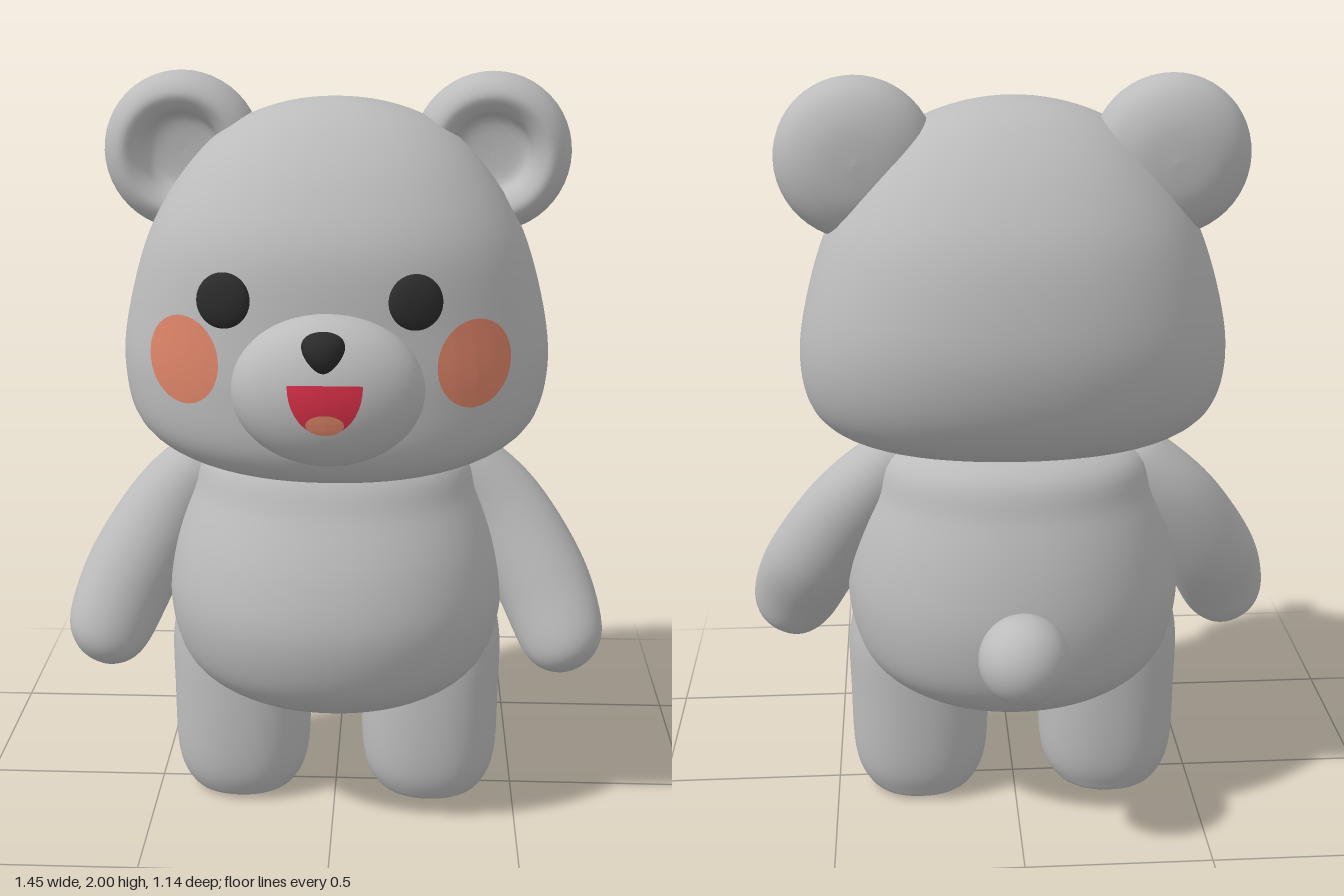
import * as THREE from 'three';
import { mergeVertices } from 'three/addons/utils/BufferGeometryUtils.js';

const paint = (name, color) => Object.assign(new THREE.MeshStandardMaterial({ color }), { name });

// Smooth closed body from rows [y, centreX, halfWidth, zFront, zBack, tilt], bottom to top.
function loft(rows, power = 2, side = 1, around = 56, steps = 6) {
  const flip = ([y, c, w, f, b, t]) => [y, c, -w, b, f, t];
  const full = rows.map((r) => (r.length < 6 ? [...r, 0] : r));
  const last = full.length - 1;
  const row = (i) => (i < 0 ? flip(full[1]).map((v, k) => (k === 0 ? full[1][0] : v))
    : i > last ? flip(full[last - 1]) : full[i]);
  const spline = (a, b, c, d, t) =>
    b + 0.5 * t * (c - a + t * (2 * a - 5 * b + 4 * c - d + t * (3 * (b - c) + d - a)));
  const pos = [], index = [], rings = last * steps;
  for (let i = 0; i <= rings; i++) {
    const k = Math.min(Math.floor(i / steps), last - 1), t = i / steps - k;
    const [y, cx, w, f, b, tilt] = full[0].map((_, n) =>
      spline(row(k - 1)[n], row(k)[n], row(k + 1)[n], row(k + 2)[n], t));
    for (let j = 0; j < around; j++) {
      const a = (j / around) * Math.PI * 2, c = Math.cos(a), s = Math.sin(a);
      const x = cx * side + w * Math.sign(c) * Math.abs(c) ** (2 / power);
      const z = (f + b) / 2 + ((f - b) / 2) * Math.sign(s) * Math.abs(s) ** (2 / power);
      pos.push(x, y + tilt * z, z);
      if (i < rings) {
        const p = i * around + j, q = i * around + ((j + 1) % around);
        index.push(p, p + around, q, q, p + around, q + around);
      }
    }
  }
  const g = new THREE.BufferGeometry();
  g.setAttribute('position', new THREE.Float32BufferAttribute(pos, 3));
  g.setIndex(index);
  const merged = mergeVertices(g, 1e-5);
  merged.computeVertexNormals();
  return merged;
}

// Thin disc reshaped by a rule and laid onto the front of a target mesh.
function decal(target, lift, rule) {
  target.updateMatrixWorld(true);
  const g = new THREE.RingGeometry(0, 1, 40, 6), p = g.attributes.position;
  const ray = new THREE.Raycaster(), down = new THREE.Vector3(0, 0, -1);
  for (let i = 0; i < p.count; i++) {
    const [x, y] = rule(p.getX(i), p.getY(i));
    ray.set(new THREE.Vector3(x, y, 3), down);
    const hit = ray.intersectObject(target)[0];
    p.setXYZ(i, x, y, (hit ? hit.point.z : 0.3) + lift);
  }
  g.computeVertexNormals();
  return g;
}

export function createModel() {
  const fur = paint('grey fur', 0xbcbcbc);
  const black = paint('black', 0x2b2b2b);
  const peach = paint('peach', 0xdd8468);
  const red = paint('mouth red', 0xd42f45);
  peach.side = red.side = THREE.DoubleSide;

  const model = new THREE.Group();
  model.name = 'toyBear';
  const add = (name, geometry, material, x = 0, y = 0, z = 0) => {
    const m = new THREE.Mesh(geometry, material);
    m.name = name;
    m.position.set(x, y, z);
    model.add(m);
    return m;
  };
  const ball = new THREE.SphereGeometry(1, 40, 28);

  // Head and torso
  const head = add('head', loft([
    [1.016, 0, 0, 0, 0, -0.09],
    [1.02, 0, 0.25, 0.22, -0.2, -0.09],
    [1.045, 0, 0.42, 0.33, -0.31, -0.08],
    [1.12, 0, 0.525, 0.395, -0.385, -0.05],
    [1.25, 0, 0.56, 0.41, -0.435, 0],
    [1.4, 0, 0.545, 0.405, -0.45, 0],
    [1.6, 0, 0.485, 0.385, -0.41, 0],
    [1.75, 0, 0.395, 0.305, -0.325, 0],
    [1.86, 0, 0.285, 0.2, -0.22, 0],
    [1.92, 0, 0.15, 0.1, -0.12, 0],
    [1.94, 0, 0, 0, 0, 0],
  ], 2.15), fur);
  add('torso', loft([
    [0.31, 0, 0, 0, 0],
    [0.316, 0, 0.2, 0.18, -0.2],
    [0.36, 0, 0.33, 0.3, -0.31],
    [0.45, 0, 0.42, 0.385, -0.385],
    [0.6, 0, 0.455, 0.42, -0.41],
    [0.75, 0, 0.44, 0.39, -0.39],
    [0.9, 0, 0.39, 0.32, -0.34],
    [1.03, 0, 0.32, 0.24, -0.27],
    [1.1, 0, 0, 0, 0],
  ], 2.1), fur);
  add('tail', ball, fur, 0, 0.585, -0.455).scale.setScalar(0.117);

  // Ear profile: rounded back, soft rim, dished front
  const earCurve = new THREE.SplineCurve([
    [0, -0.115], [0.1, -0.105], [0.175, -0.065], [0.205, 0], [0.19, 0.06],
    [0.15, 0.09], [0.11, 0.065], [0.085, 0.01], [0, 0],
  ].map(([r, h]) => new THREE.Vector2(r, h)));
  const earPoints = earCurve.getPoints(40);
  earPoints.forEach((p) => { p.x = Math.max(p.x, 0); });
  const ear = new THREE.LatheGeometry(earPoints, 48);

  for (const side of [1, -1]) {
    const label = side > 0 ? 'left' : 'right';

    const e = add(label + 'Ear', ear, fur, side * 0.4, 1.795, -0.06);
    e.rotation.x = Math.PI / 2;

    // Arm hangs outward and bends slightly forward
    const arm = add(label + 'Arm', loft([
      [-0.675, 0.05, 0, 0.115, 0.115],
      [-0.655, 0.05, 0.07, 0.175, 0.05],
      [-0.58, 0.055, 0.115, 0.208, 0.0],
      [-0.42, 0.067, 0.128, 0.155, -0.09],
      [-0.2, 0.055, 0.118, 0.085, -0.135],
      [-0.03, 0.02, 0.092, 0.055, -0.125],
      [0.04, 0.01, 0.05, 0.015, -0.075],
      [0.06, 0, 0, -0.03, -0.03],
    ], 2, side), fur, side * 0.3, 1, 0);
    arm.rotation.z = side * 0.49;

    add(label + 'Leg', loft([
      [0.005, 0.265, 0, -0.01, -0.01],
      [0.005, 0.265, 0.115, 0.11, -0.13],
      [0.035, 0.265, 0.16, 0.145, -0.158],
      [0.12, 0.265, 0.187, 0.165, -0.178],
      [0.3, 0.265, 0.192, 0.16, -0.18],
      [0.48, 0.27, 0.185, 0.14, -0.17],
      [0.62, 0.29, 0.12, 0.09, -0.12],
      [0.68, 0.3, 0, -0.01, -0.01],
    ], 2.2, side), fur);

    // Paw pads under the foot: one large, four toes
    const pads = [[0, -0.02, 0.045, 0.034], [-0.062, 0.02, 0.015, 0.018],
      [-0.024, 0.05, 0.015, 0.02], [0.024, 0.05, 0.015, 0.02], [0.062, 0.02, 0.015, 0.018]];
    pads.forEach(([x, z, rx, rz], i) => {
      const pad = add(label + (i ? 'ToePad' : 'SolePad'), new THREE.CircleGeometry(1, 24), peach,
        side * 0.265 + x, 0, z);
      pad.rotation.x = Math.PI / 2;
      pad.scale.set(rx, rz, 1);
    });

    // Eye and cheek
    const eye = add(label + 'Eye', ball, black, side > 0 ? 0.208 : -0.257, 1.495, 0.378);
    eye.scale.set(0.067, 0.068, 0.026);
    eye.rotation.set(-0.12, side * 0.2, 0);
    const cheekX = side > 0 ? 0.355 : -0.365;
    add(label + 'Cheek', decal(head, 0.009, (x, y) => [cheekX + x * 0.092, 1.332 + y * 0.11]), peach);
  }

  // Muzzle, nose and mouth
  const muzzle = add('muzzle', ball, fur, -0.003, 1.28, 0.4);
  muzzle.scale.set(0.237, 0.19, 0.137);
  const noseShape = new THREE.SphereGeometry(1, 32, 24), np = noseShape.attributes.position;
  for (let i = 0; i < np.count; i++) np.setX(i, np.getX(i) * (1 + 0.35 * np.getY(i)));
  noseShape.computeVertexNormals();
  add('nose', noseShape, black, -0.008, 1.405, 0.522).scale.set(0.049, 0.05, 0.043);
  add('mouth', decal(muzzle, 0.006, (x, y) =>
    [-0.004 + x * 0.09, 1.325 + y * (y > 0 ? 0.004 : 0.12)]), red);
  add('tongue', decal(muzzle, 0.01, (x, y) => [-0.004 + x * 0.046, 1.232 + y * 0.026]), peach);

  return model;
}
